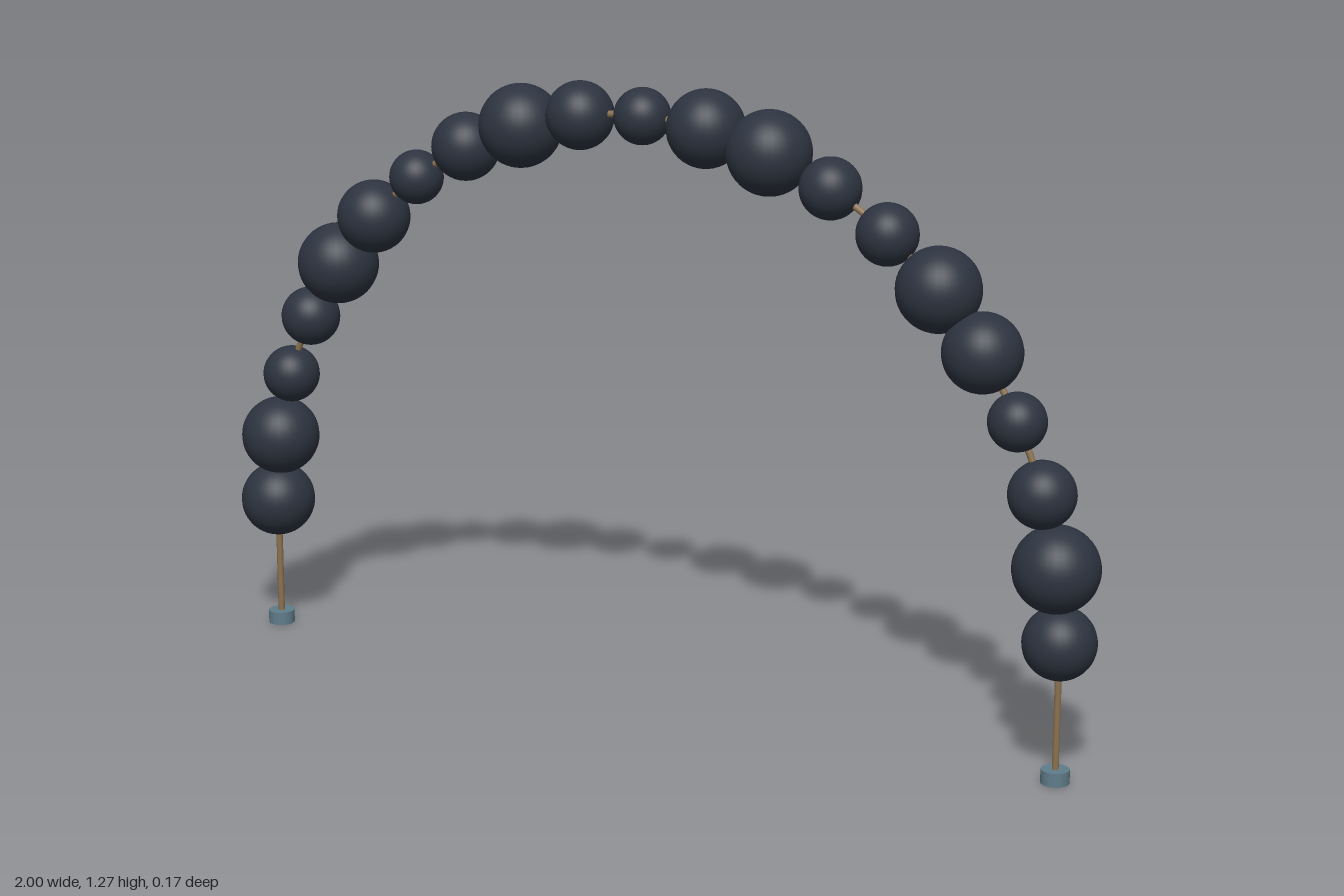
import * as THREE from 'three';

const ARCH_RADIUS = 0.922;
const SPRING_Y = 0.281;
const ROD_RADIUS = 0.007;

// Ball radii along the arch, from the right end (-x) to the left end (+x)
const BALL_RADII = [
  0.079, 0.083, 0.06, 0.062, 0.085, 0.076, 0.056, 0.07, 0.085, 0.069, 0.057,
  0.078, 0.084, 0.061, 0.061, 0.083, 0.078, 0.057, 0.066, 0.085, 0.072,
];

const material = (color) => new THREE.MeshStandardMaterial({ color });

export function createModel() {
  const model = new THREE.Group();
  model.name = 'balloonArch';
  const ballMaterial = material(0x2d3440);
  const rodMaterial = material(0x8d7350);
  const footMaterial = material(0x607d8b);

  const add = (name, geometry, mat, x, y, parent = model) => {
    const mesh = new THREE.Mesh(geometry, mat);
    mesh.name = name;
    mesh.position.set(x, y, 0);
    parent.add(mesh);
    return mesh;
  };

  // Thin half-round rod that threads the balls
  add('archRod', new THREE.TorusGeometry(ARCH_RADIUS, ROD_RADIUS, 8, 80, Math.PI),
    rodMaterial, 0, SPRING_Y);

  // Balls evenly spaced along the half circle
  const balls = new THREE.Group();
  balls.name = 'balls';
  model.add(balls);
  BALL_RADII.forEach((radius, i) => {
    const angle = Math.PI * (1 - i / (BALL_RADII.length - 1));
    add(`ball${i + 1}`, new THREE.SphereGeometry(radius, 32, 24), ballMaterial,
      ARCH_RADIUS * Math.cos(angle), SPRING_Y + ARCH_RADIUS * Math.sin(angle), balls);
  });

  // Straight legs and small round feet
  const legGeometry = new THREE.CylinderGeometry(ROD_RADIUS, ROD_RADIUS, SPRING_Y - 0.01, 8);
  const footGeometry = new THREE.CylinderGeometry(0.028, 0.028, 0.028, 16);
  for (const [side, sign] of [['left', 1], ['right', -1]]) {
    add(`${side}Leg`, legGeometry, rodMaterial, sign * ARCH_RADIUS, (SPRING_Y + 0.01) / 2);
    add(`${side}Foot`, footGeometry, footMaterial, sign * ARCH_RADIUS, 0.014);
  }

  return model;
}
